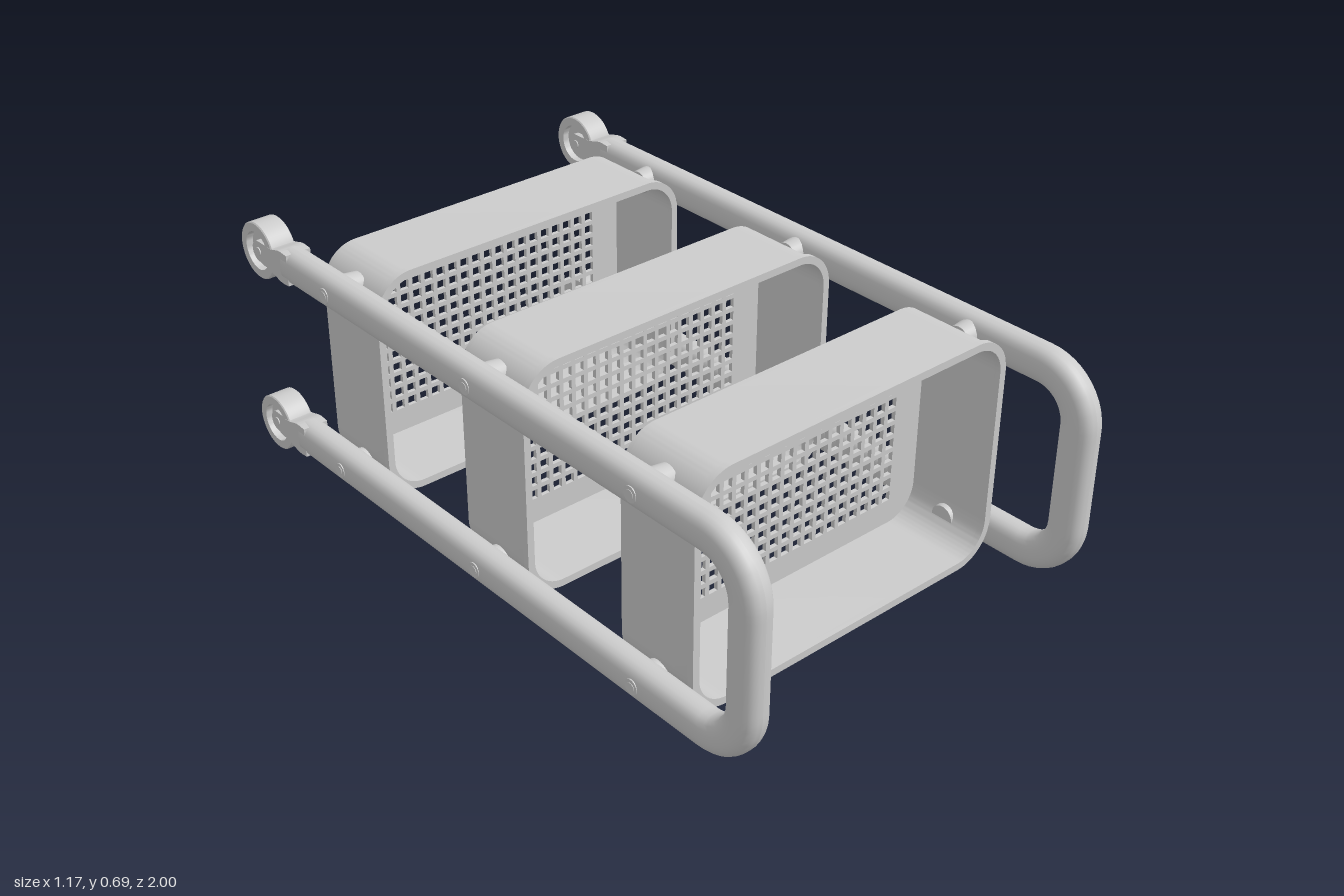
import * as THREE from 'three';
import { toCreasedNormals } from 'three/addons/utils/BufferGeometryUtils.js';

const MID_Y = 0.347;          // height of the cart's centre plane
const RAIL_X = 0.541;         // side frames
const RAIL_Y = 0.264;         // rail offset above and below the centre plane
const TRAY_Z = [0.738, 0.136, -0.465]; // open front edge of each tray
const TRAY_DEPTH = 0.256;

const material = new THREE.MeshStandardMaterial({ color: 0xcccccc });

function add(parent, name, geometry, x = 0, y = 0, z = 0) {
  const mesh = new THREE.Mesh(geometry, material);
  mesh.name = name;
  mesh.position.set(x, y, z);
  parent.add(mesh);
  return mesh;
}

function roundedRect(Type, w, h, r) {
  const s = new Type();
  s.absarc(w - r, h - r, r, 0, Math.PI / 2);
  s.absarc(r - w, h - r, r, Math.PI / 2, Math.PI);
  s.absarc(r - w, r - h, r, Math.PI, Math.PI * 1.5);
  s.absarc(w - r, r - h, r, Math.PI * 1.5, Math.PI * 2);
  s.closePath();
  return s;
}

function extrude(shape, depth) {
  const g = new THREE.ExtrudeGeometry(shape, { depth, bevelEnabled: false, curveSegments: 12 });
  return toCreasedNormals(g, 0.6);
}

// Cylinder lying along x
function pin(rOuter, rInner, length, sides = 28) {
  return new THREE.CylinderGeometry(rOuter, rInner, length, sides).rotateZ(-Math.PI / 2);
}

// U-shaped rail bent in the yz plane, with a squarish oval section
function railGeometry() {
  const R = 0.125, front = 0.951, back = -0.8;
  const v = (y, z) => new THREE.Vector3(0, y, z);
  const path = new THREE.CurvePath();
  const bend = (sign) => {
    const pts = [];
    for (let i = 0; i <= 16; i++) {
      const a = (i / 16) * Math.PI / 2;
      pts.push(v(sign * (RAIL_Y - R + R * Math.cos(a)), front - R + R * Math.sin(a)));
    }
    return sign > 0 ? pts : pts.reverse();
  };
  const points = [v(RAIL_Y, back), ...bend(1), ...bend(-1), v(-RAIL_Y, back)];
  for (let i = 1; i < points.length; i++) path.add(new THREE.LineCurve3(points[i - 1], points[i]));

  const g = new THREE.TubeGeometry(path, 220, 0.04, 24, false);
  const pos = g.attributes.position, nor = g.attributes.normal, p = 2.6;
  for (let i = 0; i < pos.count; i++) {
    const n = new THREE.Vector3().fromBufferAttribute(nor, i);
    const a = Math.abs(n.x), b = Math.sqrt(Math.max(0, 1 - a * a));
    const r = Math.pow(Math.pow(a / 0.04, p) + Math.pow(b / 0.048, p), -1 / p);
    const q = new THREE.Vector3().fromBufferAttribute(pos, i).addScaledVector(n, r - 0.04);
    pos.setXYZ(i, q.x, q.y, q.z);
  }
  g.computeVertexNormals();
  return g;
}

// Side outline drawn with +x pointing to the back, extruded across the cart
function sidePlate(shape, width) {
  return extrude(shape, width).translate(0, 0, -width / 2).rotateY(Math.PI / 2);
}

function forkGeometry() {
  const s = new THREE.Shape();
  s.moveTo(0.77, -0.044);
  s.lineTo(0.795, -0.046);
  s.bezierCurveTo(0.825, -0.046, 0.83, -0.034, 0.868, -0.033);
  s.lineTo(0.868, 0.033);
  s.bezierCurveTo(0.83, 0.034, 0.825, 0.046, 0.795, 0.046);
  s.lineTo(0.77, 0.044);
  s.closePath();
  return sidePlate(s, 0.074);
}

function tongueGeometry() {
  const s = new THREE.Shape();
  s.moveTo(0.86, -0.03);
  s.lineTo(0.92, -0.03);
  s.absarc(0.92, 0, 0.03, -Math.PI / 2, Math.PI / 2);
  s.lineTo(0.86, 0.03);
  s.closePath();
  return sidePlate(s, 0.064);
}

// Wheel with a recessed hub on both faces
function wheelGeometry() {
  const profile = [[0, -0.016], [0.054, -0.016], [0.054, -0.036], [0.077, -0.036], [0.08, -0.033],
    [0.08, 0.033], [0.077, 0.036], [0.054, 0.036], [0.054, 0.016], [0, 0.016]]
    .map(([r, h]) => new THREE.Vector2(r, h));
  return toCreasedNormals(new THREE.LatheGeometry(profile, 48), 0.6).rotateZ(Math.PI / 2);
}

function trayGeometries() {
  const hole = () => roundedRect(THREE.Path, 0.487, 0.306, 0.09);
  const lip = roundedRect(THREE.Shape, 0.507, 0.327, 0.11);
  lip.holes.push(hole());
  const wall = roundedRect(THREE.Shape, 0.5, 0.319, 0.103);
  wall.holes.push(hole());
  const floor = roundedRect(THREE.Shape, 0.5, 0.319, 0.103);
  // 20 x 12 grid of square perforations
  const pitch = 0.0402, half = 0.0135;
  for (let i = 0; i < 20; i++) {
    for (let j = 0; j < 12; j++) {
      const x = (i - 9.5) * pitch, y = (j - 5.5) * pitch;
      const h = new THREE.Path();
      h.moveTo(x - half, y - half);
      h.lineTo(x - half, y + half);
      h.lineTo(x + half, y + half);
      h.lineTo(x + half, y - half);
      h.closePath();
      floor.holes.push(h);
    }
  }
  return {
    lip: extrude(lip, 0.018).translate(0, 0, -0.018),
    wall: extrude(wall, TRAY_DEPTH - 0.03).translate(0, 0, 0.012 - TRAY_DEPTH),
    floor: extrude(floor, 0.012).translate(0, 0, -TRAY_DEPTH),
  };
}

export function createModel() {
  const model = new THREE.Group();
  model.name = 'trayCart';

  // Perforated trays
  const tray = trayGeometries();
  for (const z of TRAY_Z) {
    const group = new THREE.Group();
    group.name = 'tray';
    group.position.set(0, MID_Y, z);
    add(group, 'trayLip', tray.lip);
    add(group, 'trayWall', tray.wall);
    add(group, 'trayFloor', tray.floor);
    model.add(group);
  }

  // Side frames with casters, spacers and screws
  const rail = railGeometry(), fork = forkGeometry(), tongue = tongueGeometry(), wheel = wheelGeometry();
  const axle = pin(0.012, 0.012, 0.07, 20);
  for (const side of [1, -1]) {
    const frame = new THREE.Group();
    frame.name = side > 0 ? 'leftFrame' : 'rightFrame';
    frame.position.set(side * RAIL_X, MID_Y, 0);
    model.add(frame);
    add(frame, 'rail', rail);
    const spacer = pin(side > 0 ? 0.038 : 0.033, side > 0 ? 0.033 : 0.038, 0.045);
    const screw = pin(0.021, 0.021, 0.01, 24), socket = pin(0.012, 0.012, 0.01, 24);
    for (const y of [RAIL_Y, -RAIL_Y]) {
      add(frame, 'casterFork', fork, 0, y);
      add(frame, 'casterTongue', tongue, 0, y);
      add(frame, 'casterAxle', axle, 0, y, -0.92);
      add(frame, 'casterWheel', wheel, 0, Math.sign(y) * 0.267, -0.92);
      for (const z of TRAY_Z) {
        add(frame, 'traySpacer', spacer, side * -0.047, y, z - 0.128);
        add(frame, 'screwHead', screw, side * 0.0365, y, z - 0.128);
        add(frame, 'screwCentre', socket, side * 0.038, y, z - 0.128);
      }
    }
  }
  return model;
}
